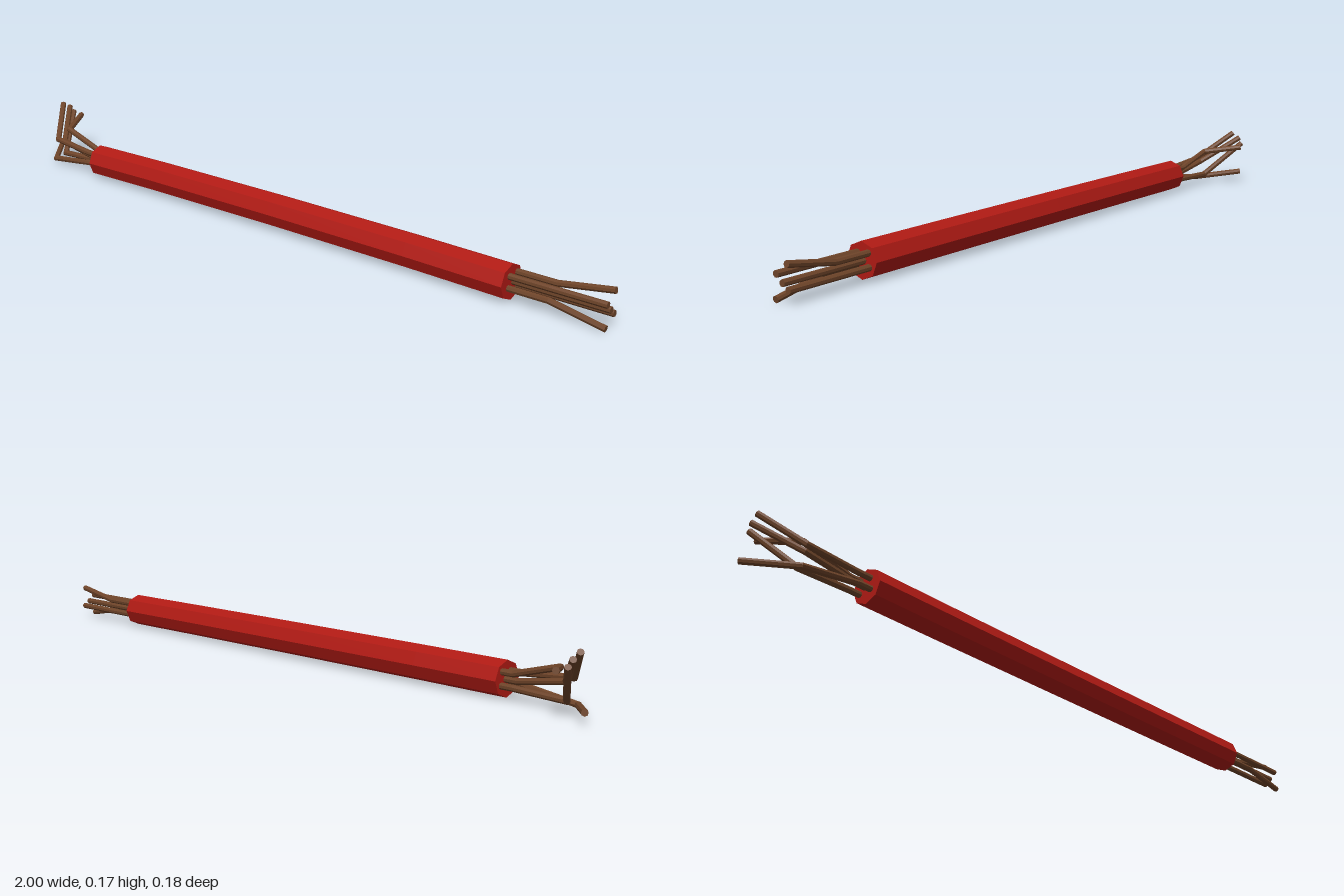
import * as THREE from 'three';

// Prism swept along a polyline with mitred corners and flat end caps
function sweep(name, points, radius, sides, material) {
  const pts = points.map((p) => new THREE.Vector3(...p));
  const dirs = pts.slice(1).map((p, i) => p.clone().sub(pts[i]).normalize());
  const v = new THREE.Vector3().crossVectors(dirs[0], new THREE.Vector3(0, 1, 0)).normalize();
  const u = new THREE.Vector3().crossVectors(v, dirs[0]);
  let ring = [];
  for (let k = 0; k < sides; k++) {
    const a = (k / sides) * Math.PI * 2;
    ring.push(pts[0].clone()
      .addScaledVector(u, Math.cos(a) * radius)
      .addScaledVector(v, Math.sin(a) * radius));
  }
  const verts = [];
  const add = (ps) => ps.forEach((p) => verts.push(p.x, p.y, p.z));
  for (let k = 0; k < sides; k++) add([pts[0], ring[(k + 1) % sides], ring[k]]);
  dirs.forEach((d, i) => {
    // slide the ring along the segment to the mitre plane at its far end
    const n = d.clone().add(dirs[i + 1] ?? d).normalize();
    const next = ring.map((p) => p.clone()
      .addScaledVector(d, pts[i + 1].clone().sub(p).dot(n) / d.dot(n)));
    for (let k = 0; k < sides; k++) {
      const m = (k + 1) % sides;
      add([ring[k], ring[m], next[m], ring[k], next[m], next[k]]);
    }
    ring = next;
  });
  for (let k = 0; k < sides; k++) add([pts.at(-1), ring[k], ring[(k + 1) % sides]]);
  const geo = new THREE.BufferGeometry();
  geo.setAttribute('position', new THREE.Float32BufferAttribute(verts, 3));
  geo.computeVertexNormals();
  const mesh = new THREE.Mesh(geo, material);
  mesh.name = name;
  return mesh;
}

export function createModel() {
  const group = new THREE.Group();
  group.name = 'cable';
  const red = new THREE.MeshStandardMaterial({ color: 0xb01a14, flatShading: true });
  const brown = new THREE.MeshStandardMaterial({ color: 0x6e4429, flatShading: true });

  // Octagonal sheath, very slightly bowed
  group.add(sweep('sheath', [
    [-0.705, 0.05, 0.046], [-0.45, 0.052, 0.042], [0, 0.053, 0.04],
    [0.45, 0.052, 0.042], [0.74, 0.05, 0.046],
  ], 0.046, 8, red));

  // Five inner wires: left tip, left bend, place in the sheath, right tip height
  const wires = [
    { tip: [-0.967, 0.162, -0.039], bend: [-0.89, 0.08, 0.052], y: 0.068, z: 0.058, end: 0.068 },
    { tip: [-0.965, 0.148, -0.063], bend: [-0.88, 0.072, 0.035], y: 0.05, z: 0.04, end: 0.05 },
    { tip: [-0.96, 0.132, -0.074], bend: [-0.89, 0.03, 0.025], y: 0.036, z: 0.023, end: 0.036 },
    { tip: [-0.935, 0.122, -0.083], bend: [-0.875, 0.107, 0.018], y: 0.07, z: 0.025, end: 0.094 },
    { tip: [-0.993, 0.033, -0.053], bend: [-0.9, 0.018, 0.056], y: 0.038, z: 0.061, end: 0.011 },
  ];
  wires.forEach(({ tip, bend, y, z, end }, i) => {
    group.add(sweep(`wire${i + 1}`, [
      tip, bend, [-0.74, y, z], [0.85, y, z], [0.998, end, z],
    ], 0.0085, 8, brown));
  });
  return group;
}
